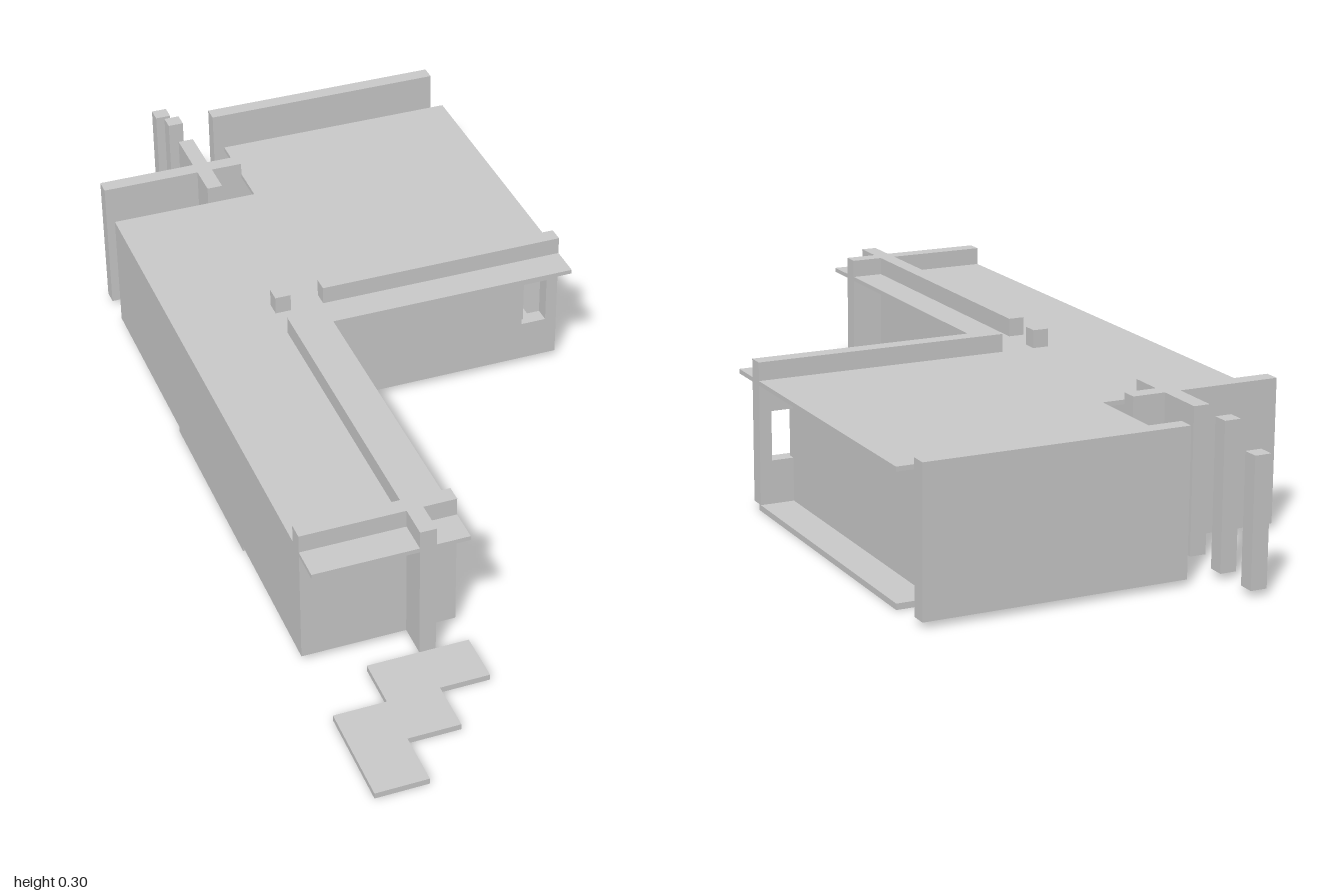
import * as THREE from 'three';

const BASE = 0.012, ROOF_LOW = 0.254, ROOF_TOP = 0.263, TOP = 0.3;

export function createModel() {
  const house = new THREE.Group();
  house.name = 'house';
  const material = new THREE.MeshStandardMaterial({ color: 0xcccccc, flatShading: true });

  const add = (name, geometry) => {
    const mesh = new THREE.Mesh(geometry, material);
    mesh.name = name;
    house.add(mesh);
    return mesh;
  };

  // Upright block given by its extents
  const block = (name, x0, x1, z0, z1, y0 = BASE, y1 = TOP) =>
    add(name, new THREE.BoxGeometry(x1 - x0, y1 - y0, z1 - z0))
      .position.set((x0 + x1) / 2, (y0 + y1) / 2, (z0 + z1) / 2);

  // Flat slab with an outline of [x, z] corners
  const slab = (name, corners, y0, y1) => {
    const shape = new THREE.Shape(corners.map(([x, z]) => new THREE.Vector2(x, -z)));
    const geometry = new THREE.ExtrudeGeometry(shape, { depth: y1 - y0, bevelEnabled: false });
    add(name, geometry.rotateX(-Math.PI / 2)).position.y = y0;
  };

  // L-shaped roof with a notch at the back
  slab('roof', [
    [-0.42, 0.68], [-0.11, 0.68], [-0.11, -0.06], [0.42, -0.06],
    [0.42, -0.79], [-0.105, -0.79], [-0.105, -0.58], [-0.42, -0.58],
  ], ROOF_LOW, ROOF_TOP);

  // Ground slabs and stepped entrance path
  slab('wingFloor', [
    [0, -0.155], [0.42, -0.155], [0.42, -0.79], [0.105, -0.79], [0.105, -0.58], [0, -0.58],
  ], 0, BASE);
  slab('sideFloor', [[-0.42, 0.265], [-0.315, 0.265], [-0.315, -0.155], [-0.42, -0.155]], 0, BASE);
  slab('steppedPath', [
    [-0.42, 1], [-0.315, 1], [-0.315, 0.89], [-0.21, 0.89], [-0.21, 0.785], [-0.11, 0.785],
    [-0.11, 0.68], [-0.315, 0.68], [-0.315, 0.785], [-0.42, 0.785],
  ], 0, BASE);

  // Long wing: spine wall, end cross wall and outer wall
  const spine = [-0.21, -0.177];
  block('spineWall', ...spine, -0.055, 0.68);
  block('endCrossWall', -0.42, -0.11, 0.578, 0.612);
  block('outerWall', -0.42, -0.39, -0.58, 0.612, BASE, ROOF_LOW);

  // Front wall of the wide wing with its window opening
  const front = new THREE.Shape([
    [-0.107, BASE], [0.42, BASE], [0.42, TOP], [-0.107, TOP],
  ].map(p => new THREE.Vector2(...p)));
  front.holes.push(new THREE.Path([
    [0.34, 0.1], [0.34, 0.2], [0.395, 0.2], [0.395, 0.1],
  ].map(p => new THREE.Vector2(...p))));
  add('wingFrontWall', new THREE.ExtrudeGeometry(front, { depth: 0.033, bevelEnabled: false }))
    .position.z = -0.162;

  // Inset side wall and free-standing rear wall
  block('wingSideWall', 0.319, 0.35, -0.79, -0.145, BASE, ROOF_LOW);
  block('rearWall', -0.107, 0.42, -0.897, -0.864);

  // Crossing walls in the rear notch
  block('rearCrossWall', -0.42, -0.11, -0.685, -0.652);
  block('rearSpineWall', ...spine, -0.79, -0.58);

  // Posts in line with the spine wall
  block('innerPost', ...spine, -0.162, -0.129);
  block('rearPost', ...spine, -0.897, -0.864);
  block('lastPost', ...spine, -1, -0.967, BASE, ROOF_TOP);

  return house;
}
